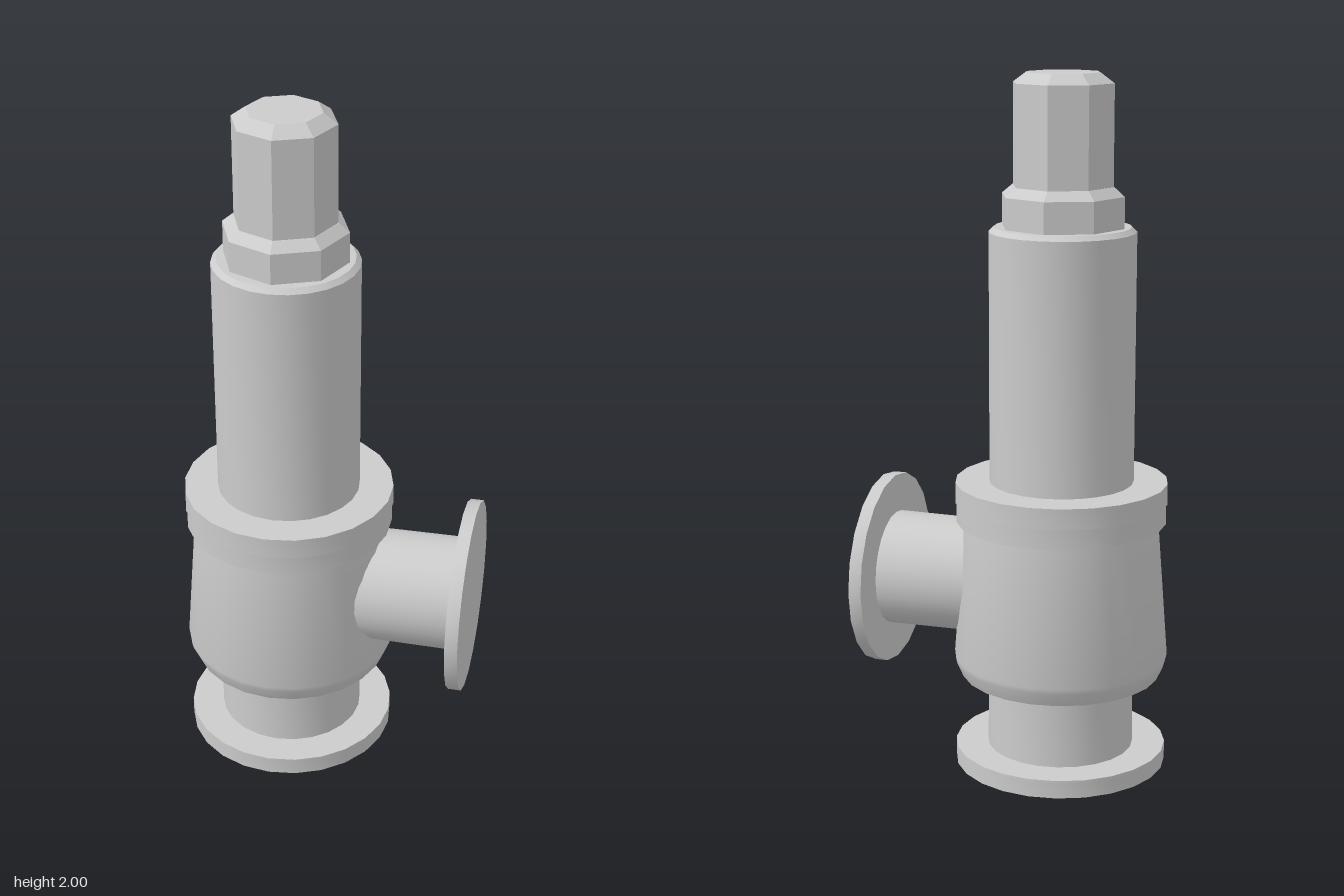
import * as THREE from 'three';
import { toCreasedNormals } from 'three/addons/utils/BufferGeometryUtils.js';

const AXIS_X = -0.121;
const CREASE = 0.42;

export function createModel() {
  const model = new THREE.Group();
  model.name = 'safetyValve';
  const material = new THREE.MeshStandardMaterial({ color: 0xcccccc });

  const add = (name, geometry, parent) => {
    const mesh = new THREE.Mesh(toCreasedNormals(geometry, CREASE), material);
    mesh.name = name;
    parent.add(mesh);
    return mesh;
  };
  // Turned part; the profile is [radius, height] with the outside on its right
  const turn = (name, profile, sides, parent) =>
    add(name, new THREE.LatheGeometry(profile.map(([r, y]) => new THREE.Vector2(r, y)), sides), parent);

  const column = new THREE.Group();
  column.name = 'valveColumn';
  column.position.x = AXIS_X;
  model.add(column);

  // Raised inlet face with a recessed bore
  turn('inletFace', [[0, 0.075], [0.185, 0.075], [0.185, 0], [0.21, 0], [0.21, 0.03]], 24, column);

  // Bottom flange with four blind bolt holes on the diagonals
  const plate = new THREE.Shape();
  plate.absarc(0, 0, 0.303, 0, Math.PI * 2);
  const cutHole = (x, y, r) => {
    const hole = new THREE.Path();
    hole.absarc(x, y, r, 0, Math.PI * 2, true);
    plate.holes.push(hole);
  };
  cutHole(0, 0, 0.2);
  for (let i = 0; i < 4; i++) {
    const a = Math.PI / 4 + (i * Math.PI) / 2;
    cutHole(0.26 * Math.cos(a), 0.26 * Math.sin(a), 0.022);
  }
  const plateGeometry = new THREE.ExtrudeGeometry(plate, { depth: 0.045, bevelEnabled: false, curveSegments: 12 });
  plateGeometry.rotateX(-Math.PI / 2).translate(0, 0.028, 0);
  add('bottomFlange', plateGeometry, column);
  turn('bottomFlangeTop', [[0.2, 0.073], [0.303, 0.073], [0.303, 0.08], [0.2, 0.08]], 24, column);

  // Neck and tapered valve body
  turn('inletNeck', [[0.21, 0.078], [0.207, 0.3]], 24, column);
  turn('valveBody', [[0.15, 0.288], [0.285, 0.295], [0.303, 0.335], [0.306, 0.35], [0.275, 0.75]], 24, column);

  // Two-piece collar
  turn('lowerCollar', [[0.2, 0.748], [0.298, 0.748], [0.298, 0.805]], 22, column);
  turn('upperCollar', [[0.28, 0.805], [0.301, 0.805], [0.301, 0.864], [0.15, 0.864]], 22, column);

  // Spring bonnet
  turn('bonnet', [[0.204, 0.86], [0.204, 1.57], [0.19, 1.583], [0, 1.583]], 24, column);

  // Octagonal lock nut and cap
  turn('lockNut', [[0.175, 1.58], [0.175, 1.67], [0.145, 1.695], [0, 1.695]], 8, column);
  turn('cap', [[0.143, 1.69], [0.143, 1.972], [0.104, 2.0], [0, 2.0]], 8, column);

  // Side outlet, turned about its own axis and laid along +x
  const outlet = new THREE.Group();
  outlet.name = 'sideOutlet';
  outlet.position.set(0, 0.553, 0.01);
  outlet.rotation.z = -Math.PI / 2;
  model.add(outlet);
  turn('outletPipe', [[0.163, 0], [0.166, 0.392]], 24, outlet);
  turn('outletFlange', [[0.15, 0.388], [0.278, 0.388], [0.278, 0.425], [0, 0.425]], 20, outlet);

  return model;
}
